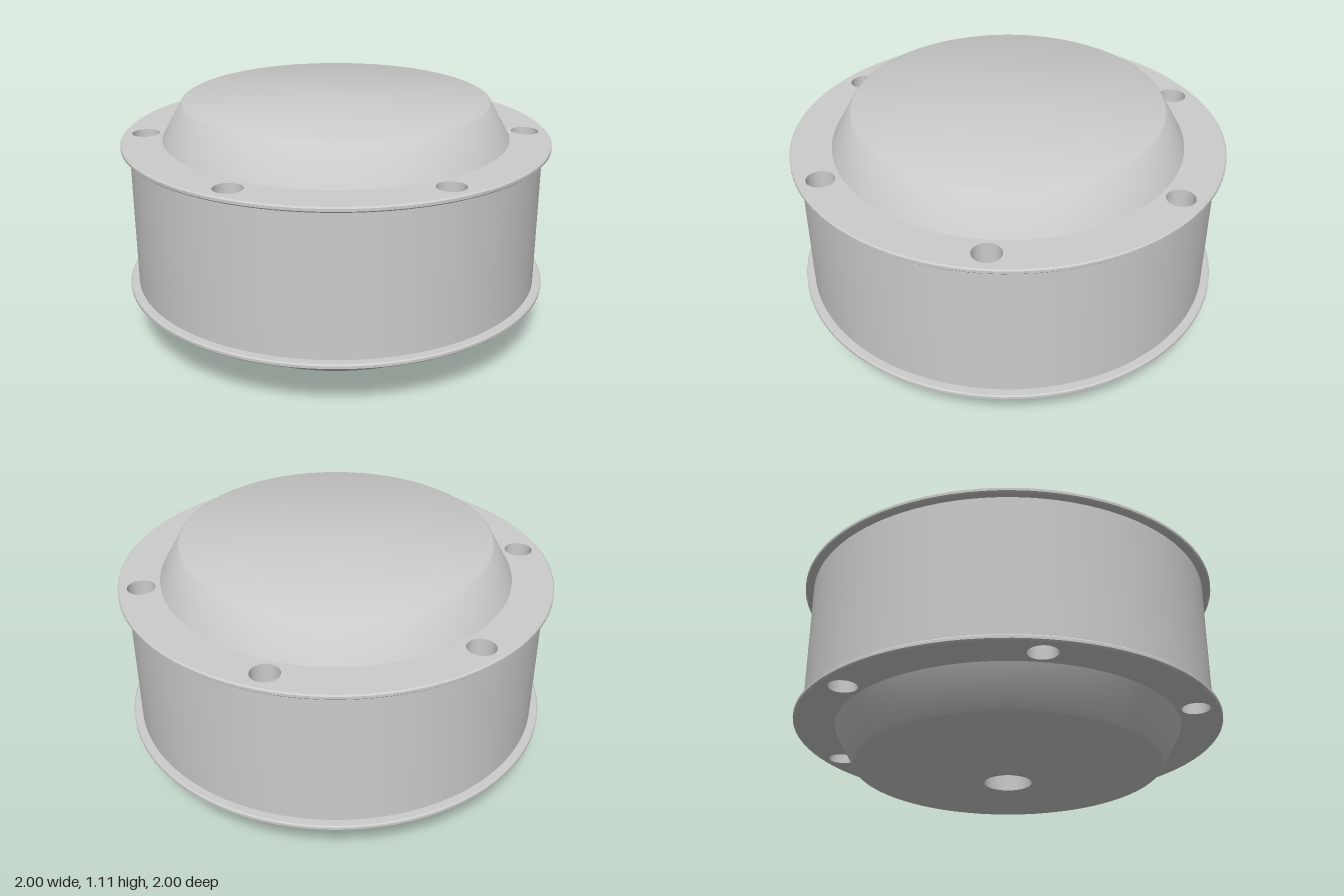
import * as THREE from 'three';
import { toCreasedNormals } from 'three/addons/utils/BufferGeometryUtils.js';

const SEGMENTS = 96;
const HOLE_RADIUS = 0.064;
const HOLE_CIRCLE = 0.895;
const HOLE_DEPTH = 0.2;
const RIM_RADIUS = 1;
const RIM_BEVEL = 0.006;
const CAP_RADIUS = 0.81;

export function createModel() {
  const group = new THREE.Group();
  const material = new THREE.MeshStandardMaterial({ color: 0xcccccc });

  const add = (name, geometry) => {
    const mesh = new THREE.Mesh(geometry, material);
    mesh.name = name;
    group.add(mesh);
    return mesh;
  };

  // Profiles run from bottom to top so that the surface faces outward
  const turned = (name, profile) => {
    const points = profile.map(([r, y]) => new THREE.Vector2(r, y));
    return add(name, toCreasedNormals(new THREE.LatheGeometry(points, SEGMENTS), 0.6));
  };

  // Lower cap with a tapered boss and a blind shaft hole
  turned('lowerCap', [
    [0, 0.25], [0.11, 0.25], [0.11, 0], [0.26, 0], [0.375, 0.063],
    [0.708, 0.063], [0.717, 0.068], [CAP_RADIUS, 0.237],
  ]);

  // Drum and rounded edges of both flanges
  turned('lowerFlangeEdge', [
    [RIM_RADIUS - RIM_BEVEL, 0.237], [RIM_RADIUS, 0.243], [RIM_RADIUS, 0.255],
    [RIM_RADIUS - RIM_BEVEL, 0.261], [0.96, 0.261],
  ]);
  turned('drum', [[0.96, 0.261], [0.96, 0.917]]);
  turned('upperFlangeEdge', [
    [0.96, 0.917], [RIM_RADIUS - RIM_BEVEL, 0.917], [RIM_RADIUS, 0.923],
    [RIM_RADIUS, 0.935], [RIM_RADIUS - RIM_BEVEL, 0.941],
  ]);

  // Upper cap, closed on top
  turned('upperCap', [
    [CAP_RADIUS, 0.941], [0.717, 1.107], [0.708, 1.112], [0, 1.112],
  ]);

  // Flange faces pierced by six bolt holes
  const face = new THREE.Shape().absarc(0, 0, RIM_RADIUS - RIM_BEVEL, 0, Math.PI * 2);
  face.holes.push(new THREE.Path().absarc(0, 0, CAP_RADIUS, 0, Math.PI * 2, true));
  const centres = [];
  for (let i = 0; i < 6; i++) {
    const a = i * Math.PI / 3;
    const x = Math.cos(a) * HOLE_CIRCLE;
    const z = Math.sin(a) * HOLE_CIRCLE;
    centres.push([x, z]);
    face.holes.push(new THREE.Path().absarc(x, z, HOLE_RADIUS, 0, Math.PI * 2, true));
  }
  const faceGeometry = new THREE.ShapeGeometry(face, SEGMENTS / 2);

  // Bolt well: open at the top, walls facing inward, flat floor
  const well = toCreasedNormals(new THREE.LatheGeometry([
    new THREE.Vector2(0, -HOLE_DEPTH),
    new THREE.Vector2(HOLE_RADIUS, -HOLE_DEPTH),
    new THREE.Vector2(HOLE_RADIUS, 0),
  ], 32), 0.6);
  const wellMaterial = material.clone();
  wellMaterial.side = THREE.DoubleSide;

  for (const [name, y, up] of [['upper', 0.941, 1], ['lower', 0.237, -1]]) {
    const plate = add(name + 'FlangeFace', faceGeometry);
    plate.rotation.x = -up * Math.PI / 2;
    plate.position.y = y;
    for (const [x, z] of centres) {
      const hole = add(name + 'BoltHole', well);
      hole.material = wellMaterial;
      hole.position.set(x, y, z);
      if (up < 0) hole.rotation.x = Math.PI;
    }
  }

  return group;
}
